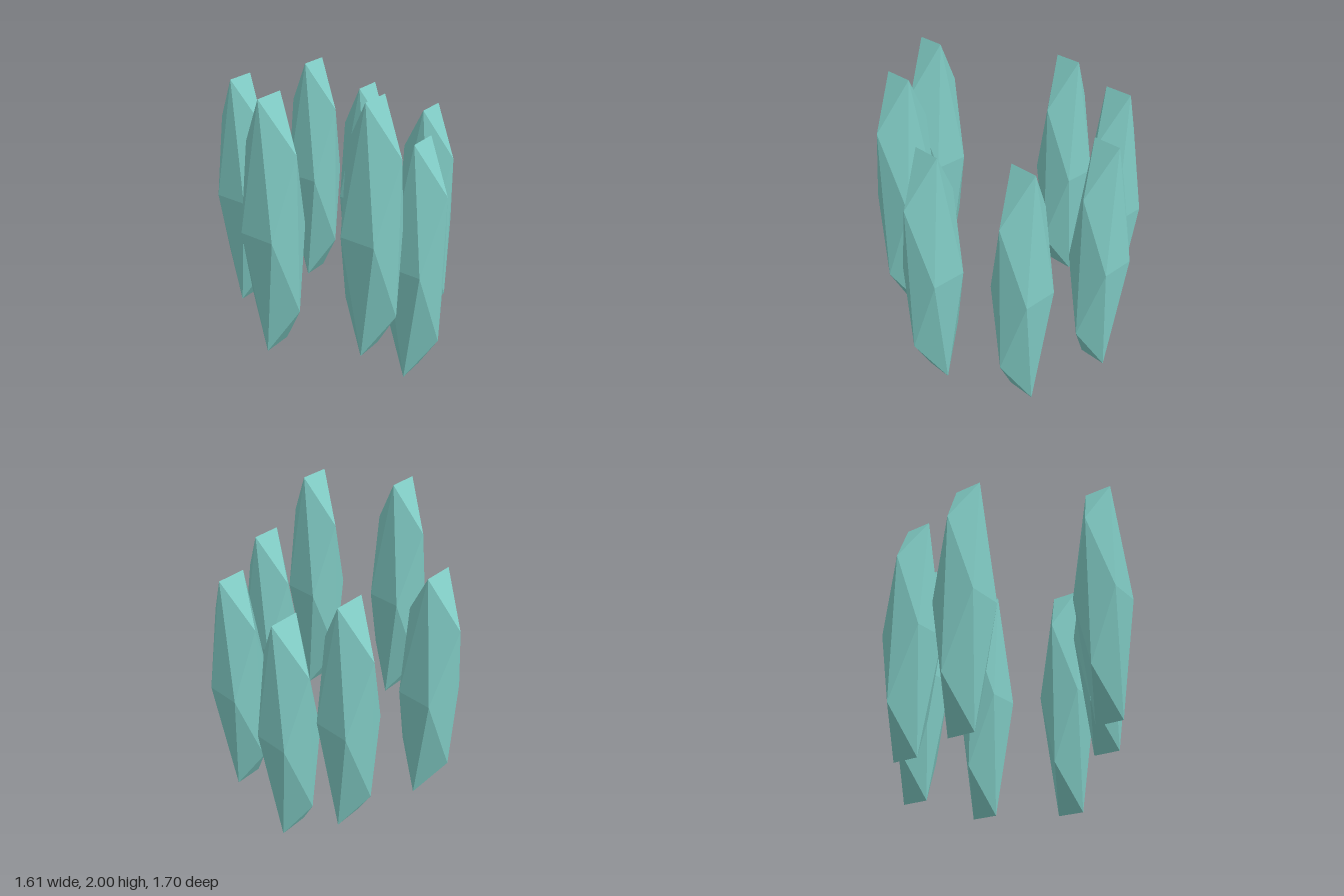
import * as THREE from 'three';

// Ring of floating crystals: centre of each as [x, y, z]
const CENTRES = [
  [-0.11, 1.0, -0.665],
  [0.457, 1.0, -0.5],
  [0.65, 0.833, -0.18],
  [0.535, 0.833, 0.4],
  [0.005, 0.833, 0.66],
  [-0.35, 1.167, 0.555],
  [-0.655, 1.167, 0.055],
];

export function createModel() {
  const model = new THREE.Group();
  model.name = 'crystalRing';

  const material = new THREE.MeshStandardMaterial({ color: 0x80cbc4, flatShading: true });

  // Faceted shard: an icosahedron stretched tall, slightly deeper than wide
  const shard = new THREE.IcosahedronGeometry(1, 0);
  shard.scale(0.182, 0.979, 0.222);
  shard.computeVertexNormals();

  CENTRES.forEach((centre, i) => {
    const crystal = new THREE.Mesh(shard, material);
    crystal.name = `crystal${i + 1}`;
    crystal.position.set(...centre);
    model.add(crystal);
  });

  return model;
}
